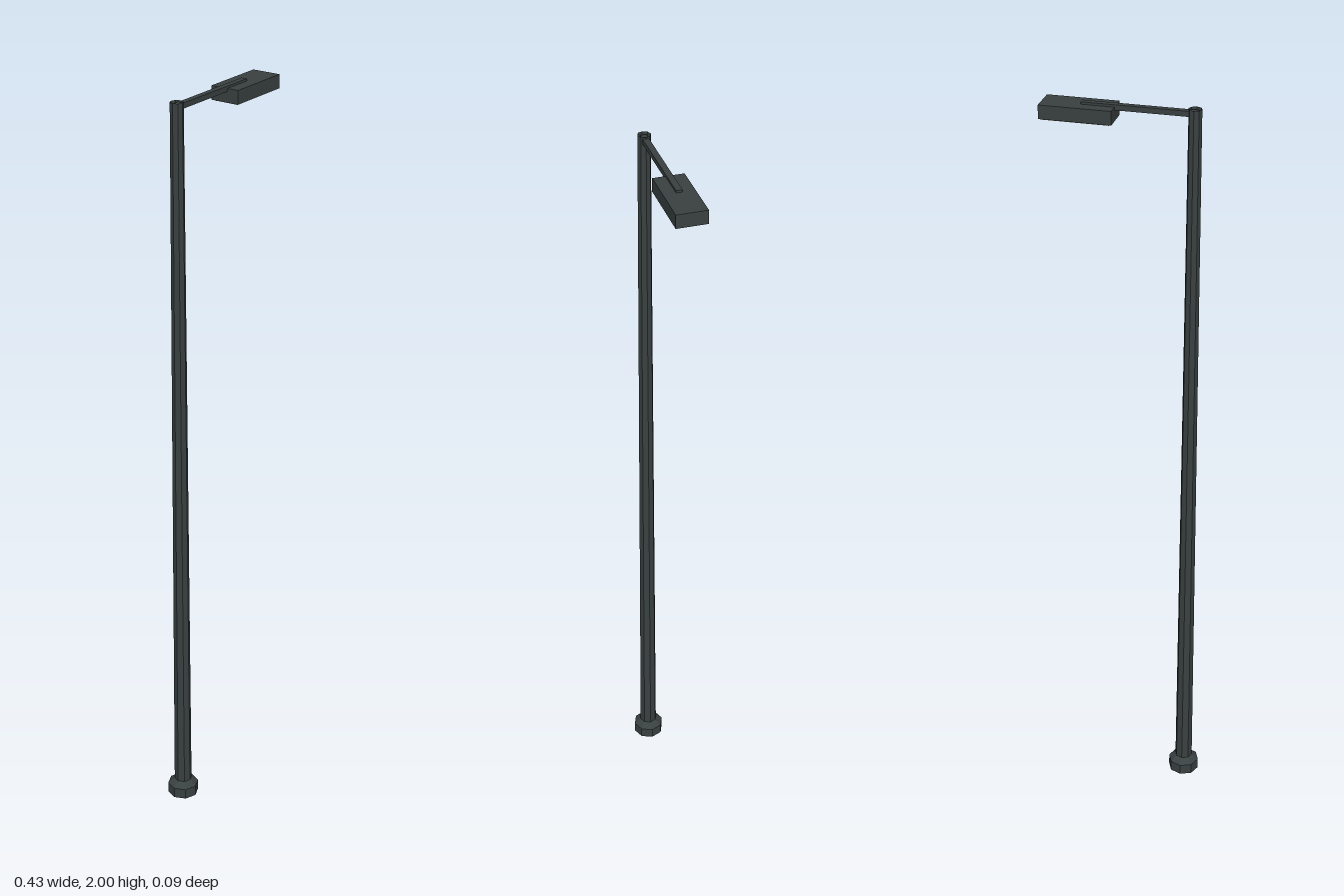
import * as THREE from 'three';

export function createModel() {
  const model = new THREE.Group();
  const steel = new THREE.MeshStandardMaterial({ color: 0x3a4141, flatShading: true, side: THREE.DoubleSide });
  steel.name = 'dark steel';
  const glow = new THREE.MeshStandardMaterial({ color: 0xdcc08c });
  glow.name = 'warm lens';

  const add = (name, geometry, material, x, y, z = 0) => {
    const mesh = new THREE.Mesh(geometry, material);
    mesh.name = name;
    mesh.position.set(x, y, z);
    model.add(mesh);
  };
  const box = (w, h, d) => new THREE.BoxGeometry(w, h, d);
  const poleX = -0.172;

  // hollow eight-sided foot with a sloping shoulder, and a tapered open pole
  const foot = [[0.0425, 0], [0.0425, 0.03], [0.024, 0.045]].map(([r, y]) => new THREE.Vector2(r, y));
  add('foot', new THREE.LatheGeometry(foot, 8), steel, poleX, 0);
  add('pole', new THREE.CylinderGeometry(0.017, 0.024, 1.96, 8, 1, true), steel, poleX, 1.02);

  // arm running over the lamp housing
  add('arm', box(0.293, 0.014, 0.016), steel, -0.0335, 1.988);
  add('lampHousing', box(0.185, 0.036, 0.08), steel, 0.12, 1.971);

  // thin lens under the housing
  add('lens', box(0.17, 0.004, 0.068), glow, 0.12, 1.952);
  return model;
}
